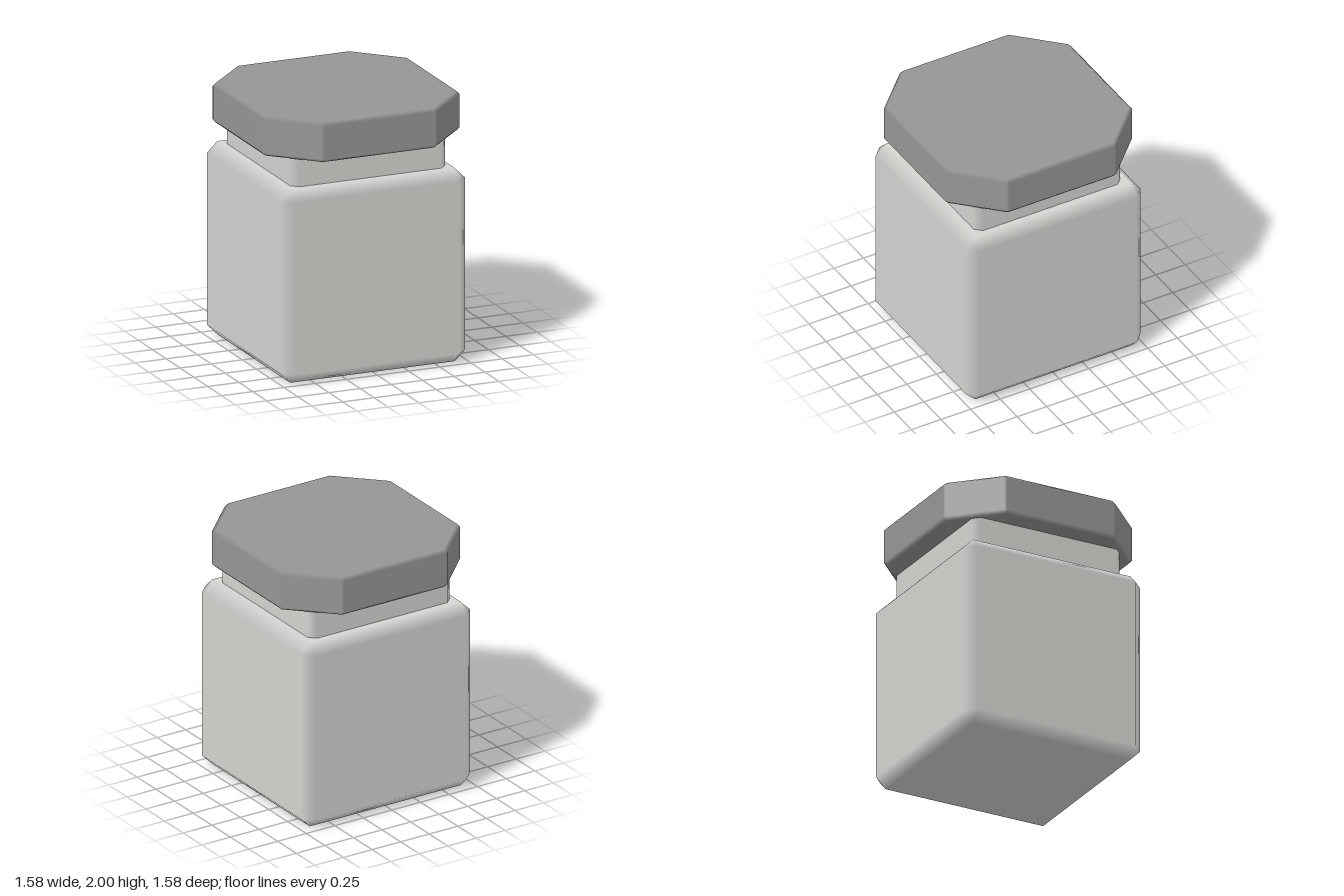
import * as THREE from 'three';

// Prism over a counter-clockwise core outline of [x, z] points, grown outward by
// a chamfer d. Each flat keeps its own normal, so the chamfers shade as soft edges.
function chamferedPrism(core, y0, y1, d, capped) {
  const n = core.length;
  const edgeNormal = (i) => {
    const [ax, az] = core[(i + n) % n];
    const [bx, bz] = core[(i + 1 + n) % n];
    const len = Math.hypot(bx - ax, bz - az);
    return [-(bz - az) / len, (bx - ax) / len];
  };
  const positions = [], normals = [], indices = [];
  const m = n * 2; // two points per outline corner

  const capRing = (y, ny) => core.forEach(([x, z]) => {
    for (let k = 0; k < 2; k++) {
      positions.push(x, y, z);
      normals.push(0, ny, 0);
    }
  });
  const sideRing = (y) => core.forEach(([x, z], i) => {
    for (const e of [i - 1, i]) {
      const [nx, nz] = edgeNormal(e);
      positions.push(x + nx * d, y, z + nz * d);
      normals.push(nx, 0, nz);
    }
  });

  if (capped) capRing(y0, -1);
  sideRing(capped ? y0 + d : y0);
  sideRing(capped ? y1 - d : y1);
  if (capped) capRing(y1, 1);

  const rings = capped ? 4 : 2;
  for (let r = 0; r < rings - 1; r++) {
    for (let j = 0; j < m; j++) {
      const k = (j + 1) % m;
      const a = r * m + j, b = r * m + k, c = b + m, e = a + m;
      // corner facets shrink to a single triangle where they meet a cap
      const corner = capped && j % 2 === 0;
      if (!(corner && r === 0)) indices.push(a, b, c);
      if (!(corner && r === rings - 2)) indices.push(a, c, e);
      else continue;
      if (corner && r === 0) continue;
    }
  }
  if (capped) {
    const top = (rings - 1) * m;
    for (let i = 1; i < n - 1; i++) {
      indices.push(0, (i + 1) * 2, i * 2);
      indices.push(top, top + i * 2, top + (i + 1) * 2);
    }
  }

  const geometry = new THREE.BufferGeometry();
  geometry.setAttribute('position', new THREE.Float32BufferAttribute(positions, 3));
  geometry.setAttribute('normal', new THREE.Float32BufferAttribute(normals, 3));
  geometry.setIndex(indices);
  return geometry;
}

// Outlines run counter-clockwise seen from above
const square = (s) => [[-s, s], [s, s], [s, -s], [-s, -s]];
const octagon = (s, c) => [
  [-c, s], [c, s], [s, c], [s, -c], [c, -s], [-c, -s], [-s, -c], [-s, c],
];

export function createModel() {
  const glass = new THREE.MeshStandardMaterial({ color: 0xd6d4d1 });
  glass.name = 'pale grey jar';
  const metal = new THREE.MeshStandardMaterial({ color: 0x969696 });
  metal.name = 'mid grey lid';

  const model = new THREE.Group();
  model.name = 'jar';
  const add = (name, geometry, material) => {
    const mesh = new THREE.Mesh(geometry, material);
    mesh.name = name;
    model.add(mesh);
  };

  // Cube-shaped body with wide chamfers
  add('body', chamferedPrism(square(0.66), 0, 1.48, 0.08, true), glass);
  // Straight neck running from the body into the lid
  add('neck', chamferedPrism(square(0.57), 1.47, 1.72, 0.05, false), glass);
  // Eight-sided lid with a fine chamfer
  add('lid', chamferedPrism(octagon(0.765, 0.445), 1.695, 2, 0.025, true), metal);

  return model;
}
